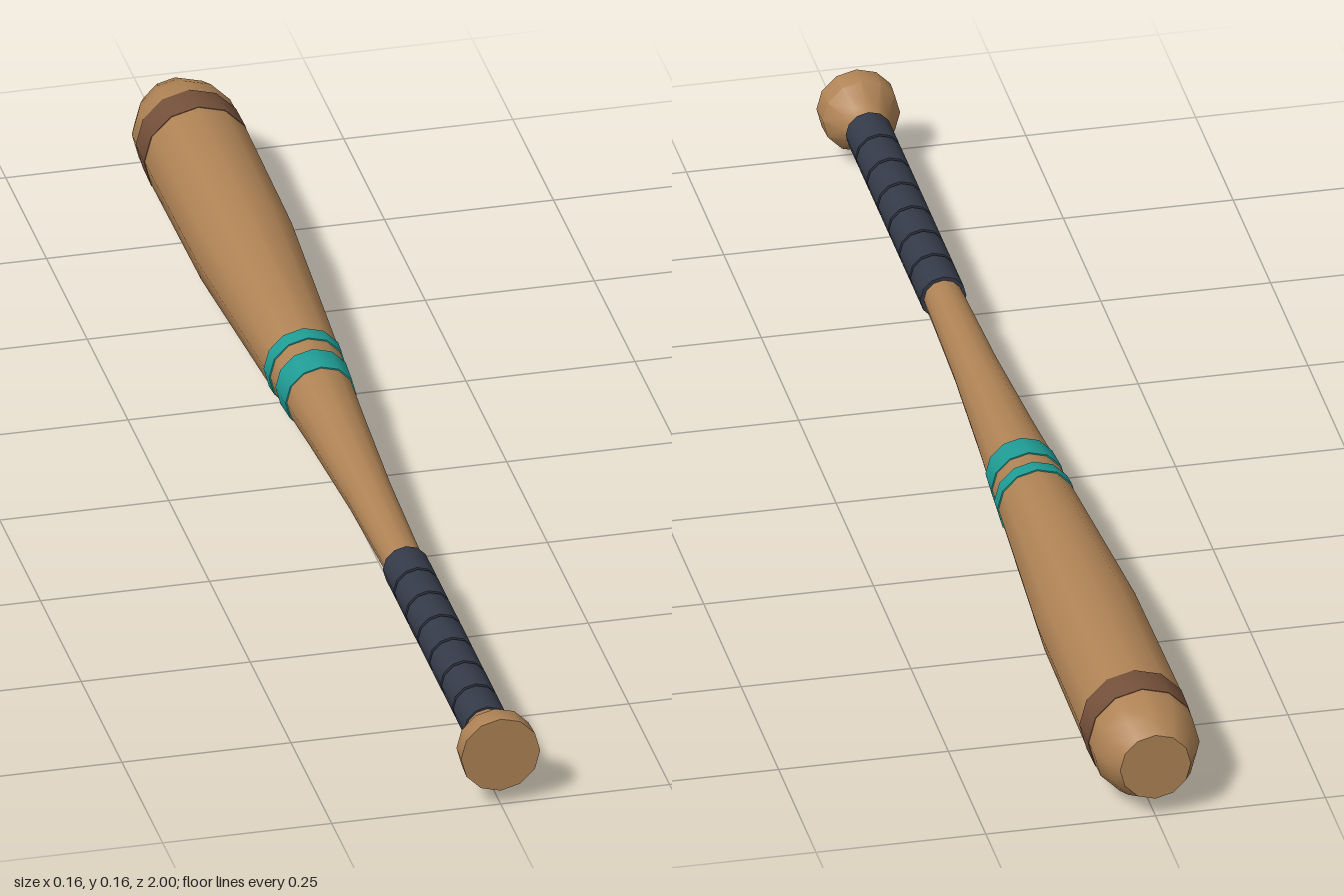
import * as THREE from 'three';
import { toCreasedNormals } from 'three/addons/utils/BufferGeometryUtils.js';

const SIDES = 12;
const AXIS_Y = 0.083;

// [z, radius] from barrel tip to the knob's neck
const BODY = [
  [-1, 0.052], [-0.97, 0.067], [-0.94, 0.078], [-0.85, 0.0795], [-0.56, 0.077], [-0.2, 0.0565],
  [0, 0.0445], [0.2, 0.0345], [0.42, 0.0285], [0.6, 0.0285], [0.93, 0.031],
];
const KNOB = [[0.92, 0.031], [0.935, 0.036], [0.965, 0.057], [1, 0.0585]];

function material(name, color) {
  const m = new THREE.MeshStandardMaterial({ color });
  m.name = name;
  return m;
}

// Radius of the wooden body at a given z
function radiusAt(z) {
  const i = BODY.findIndex((p, k) => k > 0 && z <= p[0]);
  const [z0, r0] = BODY[i - 1];
  const [z1, r1] = BODY[i];
  return r0 + ((r1 - r0) * (z - z0)) / (z1 - z0);
}

// Closed solid turned around the z axis
function turned(name, profile, mat) {
  const pts = [[profile[0][0], 0], ...profile, [profile[profile.length - 1][0], 0]]
    .map(([z, r]) => new THREE.Vector2(r, z));
  const geo = new THREE.LatheGeometry(pts, SIDES).rotateX(Math.PI / 2);
  const mesh = new THREE.Mesh(toCreasedNormals(geo, 0.65), mat);
  mesh.name = name;
  mesh.position.y = AXIS_Y;
  return mesh;
}

// Thin sleeve that follows the body's taper
function band(name, z0, z1, lift, mat) {
  return turned(name, [[z0, radiusAt(z0) + lift], [z1, radiusAt(z1) + lift]], mat);
}

export function createModel() {
  const wood = material('wood', 0xaf8355);
  const darkWood = material('darkWood', 0x74503a);
  const teal = material('teal', 0x1f9c95);
  const gripTape = material('gripTape', 0x343a48);

  const bat = new THREE.Group();
  bat.name = 'bat';

  bat.add(turned('body', BODY, wood));
  bat.add(turned('knob', KNOB, wood));

  // Painted rings
  bat.add(band('tipRing', -0.91, -0.855, 0.001, darkWood));
  bat.add(band('narrowRing', -0.21, -0.183, 0.002, teal));
  bat.add(band('wideRing', -0.152, -0.102, 0.002, teal));

  // Wrapped grip: seven turns with slim gaps
  const grip = new THREE.Group();
  grip.name = 'grip';
  const turns = 7, start = 0.418, pitch = 0.072, gap = 0.006;
  for (let i = 0; i < turns; i++) {
    const z = start + i * pitch;
    grip.add(turned('gripWrap', [[z, 0.034], [z + pitch - gap, 0.034]], gripTape));
  }
  bat.add(grip);

  return bat;
}
